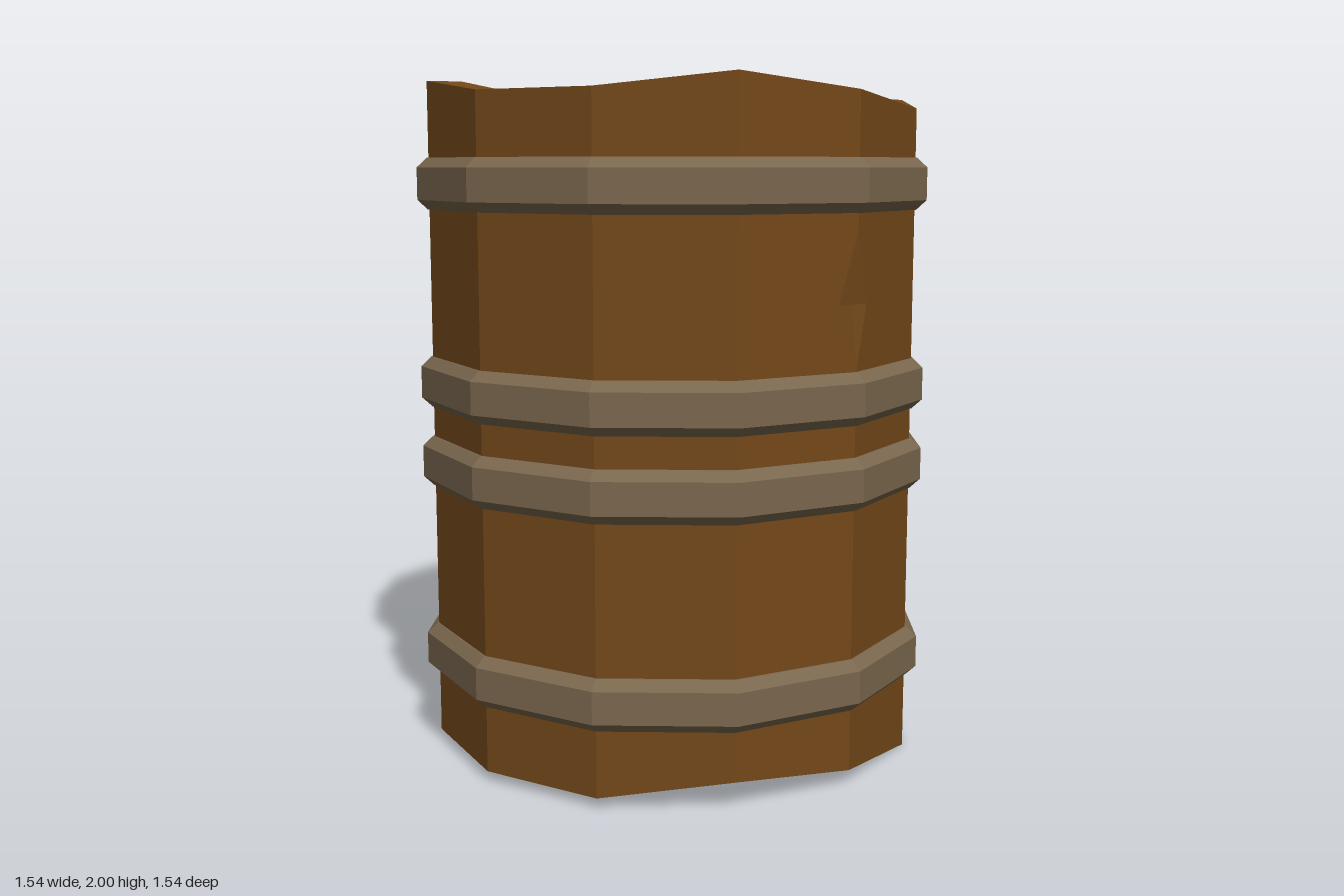
import * as THREE from 'three';

const SIDES = 12;
const OUTER = 0.735, INNER = 0.635, LID = 0.59;
const LID_LOW = 0.17, LID_HIGH = 1.83;

// Uneven rim heights, one per corner, going from +z towards +x
const topY = [1.96, 1.96, 2.0, 1.96, 1.92, 1.96, 1.99, 1.985, 1.945, 1.96, 1.96, 2.0];
const bottomY = [0.03, 0.03, 0.08, 0.045, 0, 0.03, 0.055, 0.03, 0.035, 0.07, 0.03, 0.035];

// Chips knocked out of three stave edges
const dents = [
  { corner: 3, y: 1.38, depth: 0.018 },
  { corner: 5, y: 0.6, depth: 0.045 },
  { corner: 9, y: 1.38, depth: 0.018 },
];

const material = (color) => new THREE.MeshStandardMaterial({ color, flatShading: true });

// Point on the twelve-sided outline; t counts corners and may be fractional
function outlinePoint(t, radius, height) {
  const corner = (k) => {
    const i = ((k % SIDES) + SIDES) % SIDES;
    const a = (i / SIDES) * Math.PI * 2;
    const y = typeof height === 'number' ? height : height[i];
    return new THREE.Vector3(Math.sin(a) * radius, y, Math.cos(a) * radius);
  };
  const k = Math.floor(t);
  return corner(k).lerp(corner(k + 1), t - k);
}

// Staves: one loft from the bottom recess, around the outside, into the top recess
function staveGeometry() {
  const columns = [];
  for (let k = 0; k < SIDES; k++) {
    const dented = dents.some((d) => d.corner === k);
    columns.push(...(dented ? [k - 0.16, k, k + 0.16] : [k]));
  }
  const rows = [
    [LID, LID_LOW], [INNER, bottomY], [OUTER, bottomY],
    [OUTER, 0.4], [OUTER, 0.6], [OUTER, 0.8],
    [OUTER, 1.2], [OUTER, 1.38], [OUTER, 1.58],
    [OUTER, topY], [INNER, topY], [LID, LID_HIGH],
  ];
  const dentAt = (r, c) => dents.find((d) => d.corner === columns[c] && d.y === rows[r][1]);
  const grid = rows.map(([radius, y], r) => columns.map((t, c) => {
    const dent = dentAt(r, c);
    return outlinePoint(t, radius - (dent ? dent.depth : 0), y);
  }));

  const positions = [];
  const addTriangle = (...points) => points.forEach((p) => positions.push(p.x, p.y, p.z));
  for (let r = 0; r < rows.length - 1; r++) {
    for (let c = 0; c < columns.length; c++) {
      const n = (c + 1) % columns.length;
      const a = grid[r][c], b = grid[r][n], u = grid[r + 1][n], v = grid[r + 1][c];
      // Turn the diagonal so that each chip becomes a diamond
      if (dentAt(r, c) || dentAt(r + 1, n)) {
        addTriangle(a, b, v);
        addTriangle(b, u, v);
      } else {
        addTriangle(a, b, u);
        addTriangle(a, u, v);
      }
    }
  }
  const geometry = new THREE.BufferGeometry();
  geometry.setAttribute('position', new THREE.Float32BufferAttribute(positions, 3));
  geometry.computeVertexNormals();
  return geometry;
}

export function createModel() {
  const barrel = new THREE.Group();
  barrel.name = 'barrel';
  const add = (name, geometry, mat, y = 0) => {
    const mesh = new THREE.Mesh(geometry, mat);
    mesh.name = name;
    mesh.position.y = y;
    barrel.add(mesh);
  };

  add('staves', staveGeometry(), material(0x734819));

  // Recessed lids
  const lidMaterial = material(0x8a6242);
  const lid = (tilt) => new THREE.CircleGeometry(LID, SIDES).rotateX(tilt);
  add('topLid', lid(-Math.PI / 2), lidMaterial, LID_HIGH);
  add('bottomLid', lid(Math.PI / 2), lidMaterial, LID_LOW);

  // Bevelled metal hoops
  const hoopProfile = [
    [0.72, -0.075], [0.74, -0.075], [0.77, -0.047],
    [0.77, 0.047], [0.74, 0.075], [0.72, 0.075],
  ].map(([x, y]) => new THREE.Vector2(x, y));
  const hoopGeometry = new THREE.LatheGeometry(hoopProfile, SIDES);
  const hoopMaterial = material(0x7a674e);
  [0.3, 0.88, 1.12, 1.705].forEach((y, i) => add(`hoop${i + 1}`, hoopGeometry, hoopMaterial, y));

  return barrel;
}
